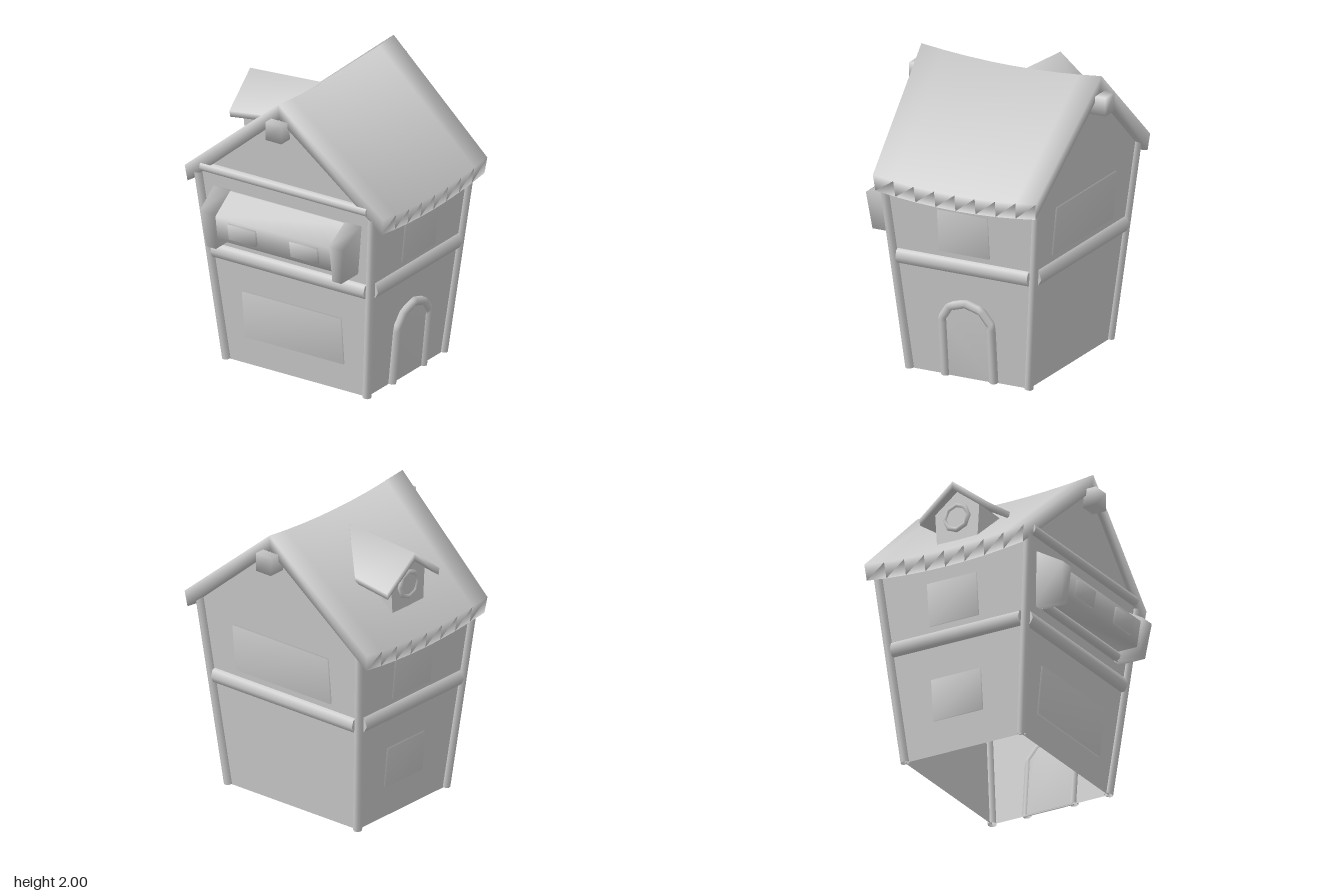
import * as THREE from 'three';
import { mergeVertices } from 'three/addons/utils/BufferGeometryUtils.js';

const mat = new THREE.MeshStandardMaterial({ color: 0xcccccc });
const twoSided = new THREE.MeshStandardMaterial({ color: 0xcccccc, side: THREE.DoubleSide });
const ZC = -0.006;              // depth centre of the walls
const wallX = (y) => 0.545 + 0.098 * y;
const wallZ = (y) => 0.435 + 0.097 * y;

function add(parent, name, geometry, x = 0, y = 0, z = 0, material = mat) {
  const mesh = new THREE.Mesh(geometry, material);
  mesh.name = name;
  mesh.position.set(x, y, z);
  parent.add(mesh);
  return mesh;
}

// Share corners so the shading rolls softly over the edges
function soften(geometry) {
  geometry.deleteAttribute('uv');
  geometry.deleteAttribute('normal');
  const g = mergeVertices(geometry, 1e-4);
  g.computeVertexNormals();
  return g;
}
const softBox = (w, h, d) => soften(new THREE.BoxGeometry(w, h, d));

function rodX(length, r, sides = 8) {
  return new THREE.CylinderGeometry(r, r, length, sides).rotateZ(Math.PI / 2);
}

function rod(a, b, r) {
  return new THREE.TubeGeometry(new THREE.LineCurve3(a, b), 1, r, 8);
}

// Profile of [z, y] points, stretched along x
function prismX(profile, width) {
  const shape = new THREE.Shape(profile.map(([z, y]) => new THREE.Vector2(z, y)));
  const g = new THREE.ExtrudeGeometry(shape, { depth: width, bevelEnabled: false });
  return soften(g.translate(0, 0, -width / 2).rotateY(-Math.PI / 2));
}

// Joins six-point chevron sections, ordered from back to front
function chevronRoof(sections) {
  const index = [];
  const n = sections.length;
  for (let i = 0; i < n - 1; i++) {
    for (let j = 0; j < 6; j++) {
      const k = (j + 1) % 6;
      const a = i * 6 + j, b = a + 6, c = i * 6 + 6 + k, d = i * 6 + k;
      index.push(a, b, c, a, c, d);
    }
  }
  const f = (n - 1) * 6;
  for (const [a, b, c] of [[0, 3, 2], [0, 2, 1], [0, 5, 4], [0, 4, 3]]) {
    index.push(f + a, f + b, f + c, a, c, b);
  }
  const g = new THREE.BufferGeometry();
  g.setAttribute('position', new THREE.Float32BufferAttribute(sections.flat(2), 3));
  g.setIndex(index);
  g.computeVertexNormals();
  return g;
}

// Leaning frame on one wall: local z points out, local y runs up the wall
function wallFrame(parent, name, angle, distance) {
  const g = new THREE.Group();
  g.name = name;
  g.rotation.set(Math.atan(0.097), angle, 0, 'YXZ');
  g.position.set(Math.sin(angle) * distance, 0, Math.cos(angle) * distance + ZC);
  parent.add(g);
  return g;
}

function buildWalls(house) {
  const corners = [[1, 1], [1, -1], [-1, -1], [-1, 1]];
  const pos = [];
  for (const y of [0, 1.31]) for (const [sx, sz] of corners) pos.push(sx * wallX(y), y, sz * wallZ(y) + ZC);
  for (const s of [1, -1]) pos.push(0, 1.9, s * wallZ(1.9) + ZC);
  const index = [7, 4, 8, 5, 6, 9];
  for (let i = 0; i < 4; i++) {
    const j = (i + 1) % 4;
    index.push(i, j, j + 4, i, j + 4, i + 4);
  }
  let g = new THREE.BufferGeometry();
  g.setAttribute('position', new THREE.Float32BufferAttribute(pos, 3));
  g.setIndex(index);
  g = g.toNonIndexed();
  g.computeVertexNormals();
  add(house, 'walls', g, 0, 0, 0, twoSided);

  // Corner posts
  for (const [sx, sz] of corners) {
    const at = (y) => new THREE.Vector3(sx * wallX(y), y, sz * wallZ(y) + ZC);
    add(house, 'cornerPost', rod(at(0), at(1.33), 0.03), 0, 0, 0, twoSided);
  }
}

function buildDoor(frame) {
  const arch = [[-0.172, 0.004], [-0.172, 0.41], [-0.115, 0.495], [0, 0.53], [0.115, 0.495], [0.18, 0.41], [0.18, 0.004]];
  const path = new THREE.CurvePath();
  for (let i = 0; i < arch.length - 1; i++) {
    path.add(new THREE.LineCurve3(new THREE.Vector3(...arch[i], 0), new THREE.Vector3(...arch[i + 1], 0)));
  }
  add(frame, 'doorFrame', new THREE.TubeGeometry(path, 40, 0.03, 6), 0.005, 0, 0.012, twoSided);
  const shape = new THREE.Shape(arch.map(([x, y]) => new THREE.Vector2(x, y)));
  const panel = new THREE.ExtrudeGeometry(shape, { depth: 0.025, bevelEnabled: false });
  add(frame, 'door', soften(panel), 0.005, 0, -0.01);
}

function buildBay(house) {
  const bay = new THREE.Group();
  bay.name = 'bay';
  bay.position.x = 0.013;
  house.add(bay);
  add(bay, 'bayBody', prismX([[0.5, 1.26], [0.56, 1.245], [0.72, 1.13], [0.69, 0.955], [0.5, 0.955]], 0.92));
  add(bay, 'bayRail', rodX(0.94, 0.032), 0, 0.925, 0.535);
  for (const s of [-1, 1]) {
    // End cap, narrowing towards its foot
    const cap = prismX([[0.5, 1.272], [0.565, 1.25], [0.737, 1.15], [0.708, 0.895], [0.5, 0.895]], 1);
    const p = cap.attributes.position;
    for (let i = 0; i < p.count; i++) {
      const t = (p.getY(i) - 0.895) / 0.377;
      p.setX(i, p.getX(i) * (0.07 + 0.06 * t) + s * (0.487 + 0.023 * t));
    }
    cap.computeVertexNormals();
    add(bay, 'bayEndCap', cap);
    add(bay, 'bayPanel', softBox(0.21, 0.11, 0.04), s * 0.24, 1.05, 0.707).rotation.x = 0.17;
  }
}

function buildRoof(house) {
  // Sagging main roof
  const sections = [];
  for (let i = 0; i <= 8; i++) {
    const t = i / 4 - 1;
    const sag = 0.04 * (1 - t * t);
    const outline = [[0, 2], [0.77, 1.355], [0.755, 1.245], [0, 1.885], [-0.755, 1.245], [-0.77, 1.355]];
    sections.push(outline.map(([x, y]) => [x, y - sag, t * (0.595 + (y - 1.355) * 0.097) - 0.017]));
  }
  add(house, 'roof', chevronRoof(sections));
  add(house, 'ridgeBeam', softBox(0.125, 0.125, 1.433), 0, 1.817, -0.019);
}

function buildDormer(house) {
  const dormer = new THREE.Group();
  dormer.name = 'dormer';
  dormer.rotation.y = -Math.PI / 2;
  dormer.position.z = -0.015;
  house.add(dormer);
  const section = (zTop, yTop, zEave, yEave) => [
    [0, yTop, zTop], [0.26, yEave, zEave], [0.25, yEave - 0.045, zEave],
    [0, yTop - 0.055, zTop], [-0.25, yEave - 0.045, zEave], [-0.26, yEave, zEave],
  ];
  add(dormer, 'dormerRoof', chevronRoof([section(0.11, 1.885, 0.38, 1.68), section(0.665, 1.845, 0.65, 1.642)]));
  const front = new THREE.Shape([[-0.15, 1.42], [0.15, 1.42], [0.165, 1.67], [0, 1.81], [-0.165, 1.67]]
    .map(([x, y]) => new THREE.Vector2(x, y)));
  add(dormer, 'dormerWalls', new THREE.ExtrudeGeometry(front, { depth: 0.4, bevelEnabled: false }), 0, 0, 0.205);
  // Round window
  add(dormer, 'dormerWindowFrame', new THREE.TorusGeometry(0.085, 0.018, 6, 8), 0, 1.61, 0.608);
  add(dormer, 'dormerWindow', new THREE.CylinderGeometry(0.085, 0.085, 0.02, 8).rotateX(Math.PI / 2), 0, 1.61, 0.606);
}

export function createModel() {
  const house = new THREE.Group();
  house.name = 'house';
  buildWalls(house);

  const front = wallFrame(house, 'frontWall', 0, 0.435);
  const back = wallFrame(house, 'backWall', Math.PI, 0.435);
  const left = wallFrame(house, 'leftWall', Math.PI / 2, 0.545);
  const right = wallFrame(house, 'rightWall', -Math.PI / 2, 0.545);

  // Belts around the middle
  for (const [wall, length] of [[front, 1.19], [back, 1.19], [left, 0.96], [right, 0.96]]) {
    add(wall, 'belt', rodX(length, 0.06), 0, 0.783, -0.02);
  }
  add(front, 'gableBeam', rodX(1.29, 0.034), 0, 1.385, 0);

  // Windows and door
  add(front, 'lowerWindow', softBox(0.765, 0.332, 0.03), 0, 0.368, 0);
  add(back, 'upperWindow', softBox(0.8, 0.33, 0.03), 0, 1.05, 0);
  add(left, 'upperWindow', softBox(0.365, 0.29, 0.03), 0.013, 1.02, 0);
  add(right, 'upperWindow', softBox(0.365, 0.29, 0.03), -0.013, 1.02, 0);
  add(right, 'lowerWindow', softBox(0.365, 0.28, 0.03), -0.02, 0.37, 0);
  buildDoor(left);

  buildBay(house);
  buildRoof(house);
  buildDormer(house);
  return house;
}
